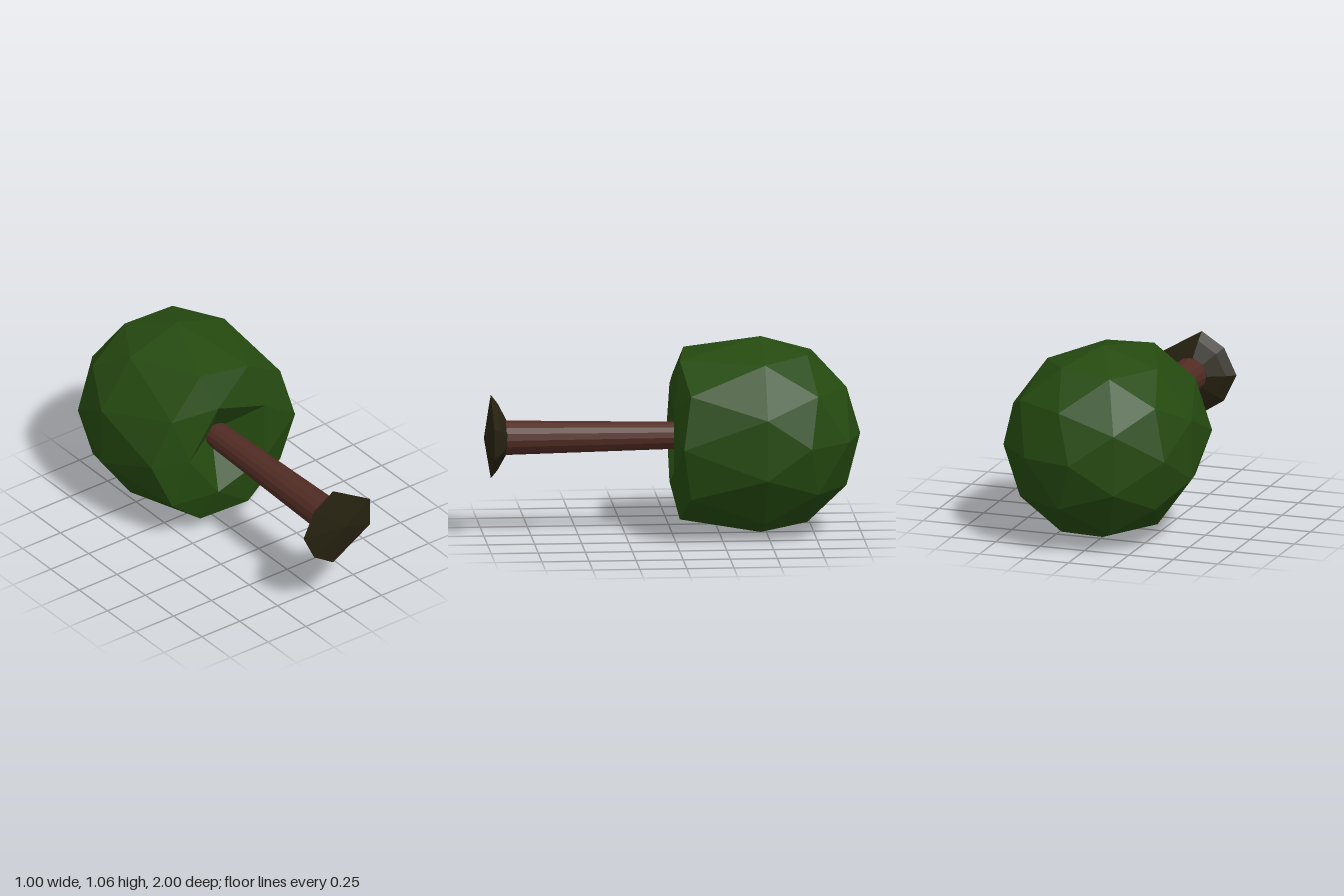
import * as THREE from 'three';

const AXIS_Y = 0.53;

// Faceted ball whose +z side is pushed outwards into a rim with a hollow in the middle
function crownGeometry() {
  const g = new THREE.IcosahedronGeometry(0.528, 1);
  g.rotateX(Math.atan(2 / (1 + Math.sqrt(5))));
  g.rotateZ(-Math.PI / 2);
  const p = g.attributes.position;
  for (let i = 0; i < p.count; i++) {
    const z = p.getZ(i);
    if (z > 0.5) p.setZ(i, 0.3);
    else if (z > 0.4) p.setZ(i, 0.478);
    else if (z > 0.1) p.setZ(i, z + 0.163);
  }
  g.computeVertexNormals();
  return g;
}

// Low mound: irregular seven-sided rings between a front tip and a back centre
function moundGeometry() {
  const outline = [[0.205, -0.08], [0.205, 0.08], [-0.04, 0.225], [-0.165, 0.145],
    [-0.235, 0], [-0.165, -0.145], [-0.04, -0.225]];
  const rings = [[0, 0.88], [0.42, 0.88], [0.8, 0.925], [1, 0.96], [0, 1]];
  const n = outline.length;
  const at = (r, i) => {
    const [s, z] = rings[r];
    const [x, y] = outline[i % n];
    return [x * s, y * s, z];
  };
  const pos = [];
  for (let r = 0; r < rings.length - 1; r++) {
    for (let i = 0; i < n; i++) {
      const a = at(r, i), b = at(r, i + 1), c = at(r + 1, i + 1), d = at(r + 1, i);
      if (rings[r][0] > 0) pos.push(...a, ...b, ...c);
      if (rings[r + 1][0] > 0) pos.push(...a, ...c, ...d);
      else if (rings[r][0] === 0) pos.push(...a, ...b, ...c);
    }
  }
  const g = new THREE.BufferGeometry();
  g.setAttribute('position', new THREE.Float32BufferAttribute(pos, 3));
  g.computeVertexNormals();
  return g;
}

export function createModel() {
  const material = (name, color) => {
    const m = new THREE.MeshStandardMaterial({ color, flatShading: true });
    m.name = name;
    return m;
  };
  const leafGreen = material('leafGreen', 0x254a10);
  const barkBrown = material('barkBrown', 0x512c24);
  const soilBrown = material('soilBrown', 0x262110);

  const group = new THREE.Group();
  group.name = 'tree';
  const add = (name, geometry, mat, z) => {
    const mesh = new THREE.Mesh(geometry, mat);
    mesh.name = name;
    mesh.position.set(0, AXIS_Y, z);
    group.add(mesh);
  };

  // Crown at the back, tapering trunk along z, soil mound at the front
  add('crown', crownGeometry(), leafGreen, -0.47);
  const trunk = new THREE.CylinderGeometry(0.093, 0.069, 1.08, 16);
  trunk.rotateX(Math.PI / 2);
  add('trunk', trunk, barkBrown, 0.345);
  add('soilMound', moundGeometry(), soilBrown, 0);
  return group;
}
